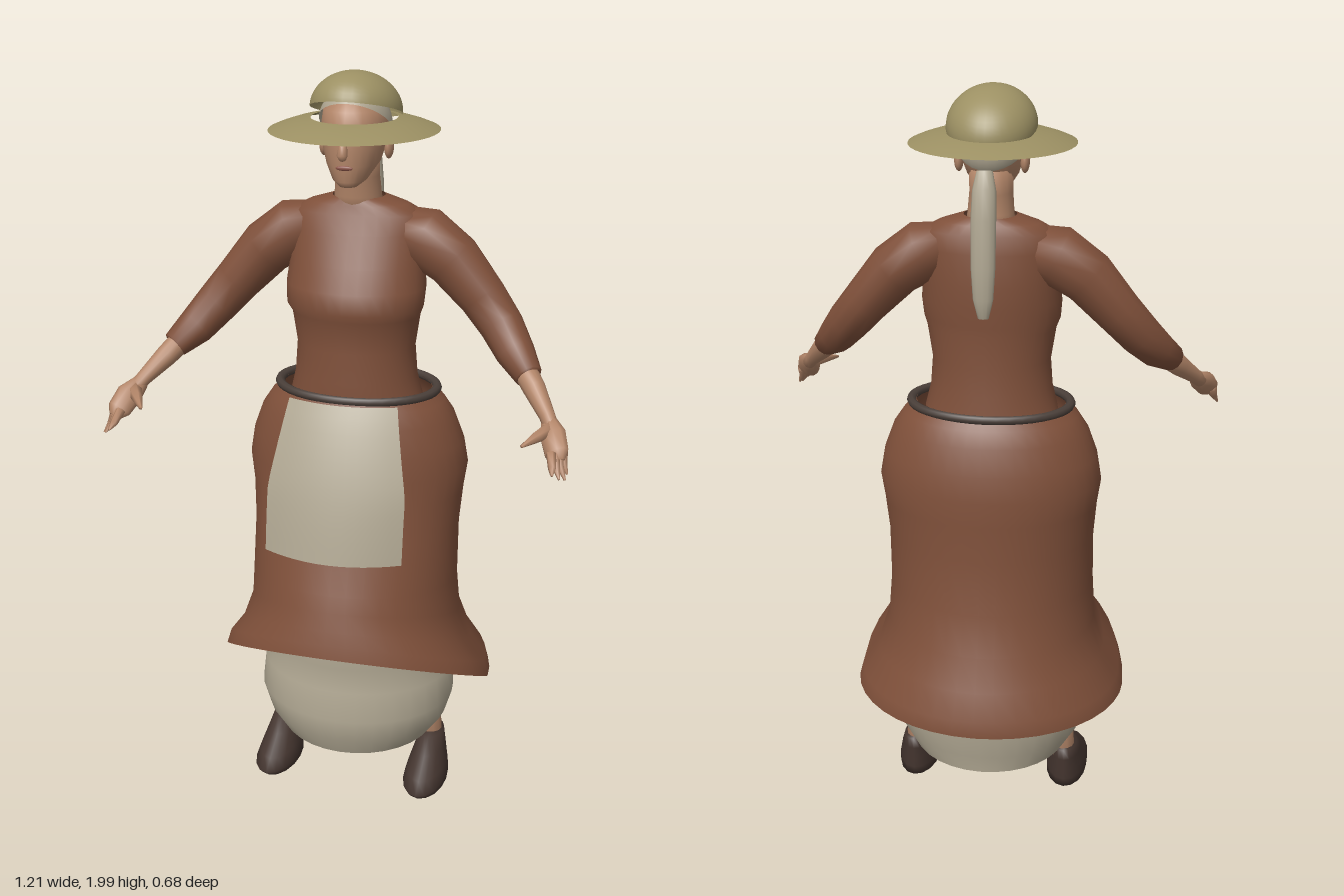
import * as THREE from 'three';

const paint = (name, color, side = THREE.FrontSide) => {
  const m = new THREE.MeshStandardMaterial({ color, side });
  m.name = name;
  return m;
};

// Skin a list of closed point rings, with optional end caps
function skin(rings, capped) {
  const n = rings[0].length, pos = [], idx = [];
  rings.forEach(r => r.forEach(p => pos.push(p.x, p.y, p.z)));
  for (let i = 0; i < rings.length - 1; i++) for (let j = 0; j < n; j++) {
    const a = i * n + j, b = i * n + (j + 1) % n;
    idx.push(a, b, a + n, b, b + n, a + n);
  }
  if (capped) [0, rings.length - 1].forEach((i, end) => {
    const c = new THREE.Vector3();
    rings[i].forEach(p => c.addScaledVector(p, 1 / n));
    const k = pos.length / 3;
    pos.push(c.x, c.y, c.z);
    for (let j = 0; j < n; j++) {
      const a = i * n + j, b = i * n + (j + 1) % n;
      if (end) idx.push(a, b, k); else idx.push(b, a, k);
    }
  });
  const g = new THREE.BufferGeometry();
  g.setAttribute('position', new THREE.Float32BufferAttribute(pos, 3));
  g.setIndex(idx);
  g.computeVertexNormals();
  return g;
}

// Upright body from rows [y, halfWidth, frontZ, backZ, frontLift], bottom to top
function loft(rows, capped = false, segs = 32, x0 = 0) {
  return skin(rows.map(([y, rx, zf, zb, lift = 0]) => Array.from({ length: segs }, (_, j) => {
    const t = j / segs * Math.PI * 2, c = Math.cos(t);
    return new THREE.Vector3(x0 + Math.sin(t) * rx, y + lift * Math.max(0, c), (zf + zb) / 2 + c * (zf - zb) / 2);
  })), capped);
}

// Tapered limb through points [x, y, z, radius]; s = -1 mirrors it
function limb(points, s = 1, flat = 1, segs = 12) {
  const P = points.map(p => new THREE.Vector3(p[0] * s, p[1], p[2]));
  return skin(P.map((p, i) => {
    const T = P[Math.min(i + 1, P.length - 1)].clone().sub(P[Math.max(i - 1, 0)]).normalize();
    const u = T.clone().cross(new THREE.Vector3(0, 0, 1)).normalize();
    const v = T.clone().cross(u);
    return Array.from({ length: segs }, (_, j) => {
      const t = j / segs * Math.PI * 2, r = points[i][3];
      return p.clone().addScaledVector(u, Math.cos(t) * r).addScaledVector(v, Math.sin(t) * r * flat);
    });
  }), true);
}

export function createModel() {
  const dress = paint('brown cloth', 0x7f503a, THREE.DoubleSide);
  const cream = paint('cream linen', 0xb0a792, THREE.DoubleSide);
  const straw = paint('straw', 0x9c9063, THREE.DoubleSide);
  const flesh = paint('skin', 0xb28568);
  const leather = paint('dark leather', 0x44352f);
  const strap = paint('belt leather', 0x4a3f39);
  const dark = paint('eye dark', 0x3a2a24);
  const lip = paint('lips', 0x8c5448);

  const model = new THREE.Group();
  model.name = 'woman in straw hat';
  const add = (name, geo, mat) => {
    const m = new THREE.Mesh(geo, mat);
    m.name = name;
    model.add(m);
    return m;
  };
  const ball = (name, mat, p, r) => {
    const m = add(name, new THREE.SphereGeometry(1, 16, 12), mat);
    m.position.set(...p);
    m.scale.set(...r);
    return m;
  };

  // Skirts: hem of the outer one rises toward the front
  add('underskirt', loft([
    [0.15, 0.22, 0.2, -0.23], [0.2, 0.255, 0.22, -0.235], [0.27, 0.276, 0.235, -0.25],
    [0.35, 0.27, 0.215, -0.25], [0.42, 0.235, 0.21, -0.22], [0.52, 0.225, 0.22, -0.2], [0.62, 0.2, 0.2, -0.18],
  ]), cream);
  add('skirt', loft([
    [0.335, 0.378, 0.33, -0.345, 0.185], [0.38, 0.365, 0.322, -0.342, 0.175], [0.45, 0.32, 0.31, -0.31, 0.14],
    [0.54, 0.29, 0.295, -0.275, 0.1], [0.65, 0.283, 0.28, -0.24, 0.03], [0.8, 0.282, 0.235, -0.226],
    [0.9, 0.29, 0.205, -0.224], [0.97, 0.3, 0.195, -0.222], [1.04, 0.288, 0.188, -0.212],
    [1.11, 0.262, 0.172, -0.19], [1.15, 0.235, 0.158, -0.172], [1.18, 0.2, 0.145, -0.15],
  ], false, 40), dress);

  // Apron: a bowed sheet hanging clear of the skirt
  const apron = new THREE.PlaneGeometry(1, 1, 12, 12), ap = apron.attributes.position;
  for (let i = 0; i < ap.count; i++) {
    const u = ap.getX(i) * 2, d = 0.5 - ap.getY(i);
    const half = 0.145 + 0.04 * Math.min(1, d * 1.8);
    const z = 0.172 + 0.125 * Math.pow(d, 0.9) + 0.012 * Math.sin(d * Math.PI);
    ap.setXYZ(i, u * half, 1.175 - 0.395 * d, z - u * u * (0.03 + 0.02 * d));
  }
  apron.computeVertexNormals();
  add('apron', apron, cream);

  // Belt
  const belt = add('belt', new THREE.TorusGeometry(1, 0.06, 8, 40).rotateX(Math.PI / 2), strap);
  belt.scale.set(0.213, 0.2, 0.15);
  belt.position.set(0, 1.178, -0.008);

  // Bodice
  add('bodice', loft([
    [1.16, 0.178, 0.14, -0.128], [1.22, 0.163, 0.14, -0.12], [1.3, 0.157, 0.133, -0.112],
    [1.385, 0.17, 0.135, -0.112], [1.41, 0.18, 0.158, -0.114], [1.46, 0.184, 0.142, -0.117],
    [1.52, 0.178, 0.115, -0.118], [1.6, 0.18, 0.082, -0.112], [1.645, 0.175, 0.062, -0.1],
    [1.668, 0.13, 0.055, -0.092], [1.686, 0.068, 0.048, -0.082],
  ]), dress);

  // Neck and head
  add('neck', loft([[1.63, 0.066, 0.05, -0.08], [1.69, 0.06, 0.055, -0.07], [1.74, 0.056, 0.062, -0.064],
    [1.8, 0.056, 0.07, -0.07]], true, 20), flesh);
  add('head', loft([
    [1.727, 0.022, 0.11, 0.06], [1.742, 0.042, 0.124, 0.015], [1.78, 0.066, 0.125, -0.05],
    [1.82, 0.078, 0.129, -0.078], [1.87, 0.084, 0.124, -0.086], [1.91, 0.078, 0.113, -0.075], [1.95, 0.045, 0.065, -0.035],
  ], true, 24), flesh);
  add('nose', limb([[0, 1.86, 0.121, 0.007], [0, 1.83, 0.135, 0.011], [0, 1.812, 0.143, 0.014], [0, 1.803, 0.137, 0.009]]), flesh);
  ball('mouth', lip, [0, 1.778, 0.125], [0.022, 0.006, 0.004]);
  for (const s of [1, -1]) {
    ball('ear', flesh, [0.084 * s, 1.815, 0.01], [0.012, 0.03, 0.02]);
    ball('eye', dark, [0.034 * s, 1.844, 0.117], [0.013, 0.005, 0.004]);
  }

  // Linen cap and hanging tail
  const cap = add('cap', new THREE.SphereGeometry(1, 28, 12, 0, Math.PI * 2, 0, Math.PI / 2), cream);
  cap.scale.set(0.092, 0.09, 0.112);
  cap.position.set(0, 1.868, 0.016);
  cap.rotation.x = -0.6;
  add('hanging tail', limb([[0, 1.815, -0.118, 0.02], [0, 1.77, -0.13, 0.03], [0, 1.7, -0.144, 0.032],
    [0, 1.58, -0.152, 0.031], [0, 1.5, -0.153, 0.026], [0, 1.45, -0.15, 0.014]], 1, 0.65), cream);

  // Straw hat: flat brim plus a crown tipped back
  const brim = add('hat brim', new THREE.LatheGeometry([[0.214, 1.858], [0.19, 1.868], [0.15, 1.881], [0.108, 1.888]]
    .map(p => new THREE.Vector2(...p)), 40), straw);
  brim.scale.z = 1.08;
  brim.position.z = 0.028;
  const crown = add('hat crown', new THREE.SphereGeometry(1, 32, 14, 0, Math.PI * 2, 0, Math.PI / 2), straw);
  crown.scale.set(0.115, 0.095, 0.135);
  crown.position.set(0, 1.902, 0.01);
  crown.rotation.x = -0.29;

  for (const s of [1, -1]) {
    // Sleeve and forearm
    add('sleeve', limb([[0.1, 1.605, -0.02, 0.06], [0.17, 1.585, -0.02, 0.08], [0.25, 1.53, -0.015, 0.073],
      [0.33, 1.44, -0.008, 0.062], [0.385, 1.375, 0.015, 0.057], [0.43, 1.32, 0.06, 0.05], [0.472, 1.28, 0.108, 0.036]], s), dress);
    add('forearm', limb([[0.44, 1.31, 0.07, 0.032], [0.49, 1.255, 0.125, 0.029], [0.535, 1.205, 0.185, 0.02], [0.55, 1.185, 0.21, 0.02]], s), flesh);
    // Hand: palm, four fingers and a thumb
    add('palm', limb([[0.537, 1.2, 0.19, 0.02], [0.557, 1.175, 0.23, 0.034], [0.572, 1.145, 0.265, 0.031],
      [0.58, 1.13, 0.28, 0.016]], s, 0.7, 10), flesh);
    [[0.602, 1.098, 0.28], [0.6, 1.092, 0.303], [0.588, 1.1, 0.322], [0.572, 1.113, 0.335]].forEach((tip, i) =>
      add('finger', limb([[0.585 - i * 0.008, 1.148, 0.25 + i * 0.01, 0.013],
        [0.59 - i * 0.007, 1.122, 0.27 + i * 0.014, 0.01], [...tip, 0.003]], s, 1, 6), flesh));
    add('thumb', limb([[0.548, 1.185, 0.215, 0.02], [0.522, 1.18, 0.26, 0.015], [0.492, 1.17, 0.308, 0.004]], s, 1, 6), flesh);
    // Leg and shoe
    add('leg', limb([[0.215, 0.1, -0.025, 0.032], [0.207, 0.2, -0.025, 0.036], [0.17, 0.5, -0.01, 0.05]], s), flesh);
    add('shoe', loft([[0.01, 0.058, 0.165, -0.068], [0.035, 0.06, 0.192, -0.07], [0.06, 0.054, 0.155, -0.07],
      [0.1, 0.042, 0.085, -0.07], [0.132, 0.033, 0.035, -0.07]], true, 16, 0.22 * s), leather);
  }
  return model;
}
